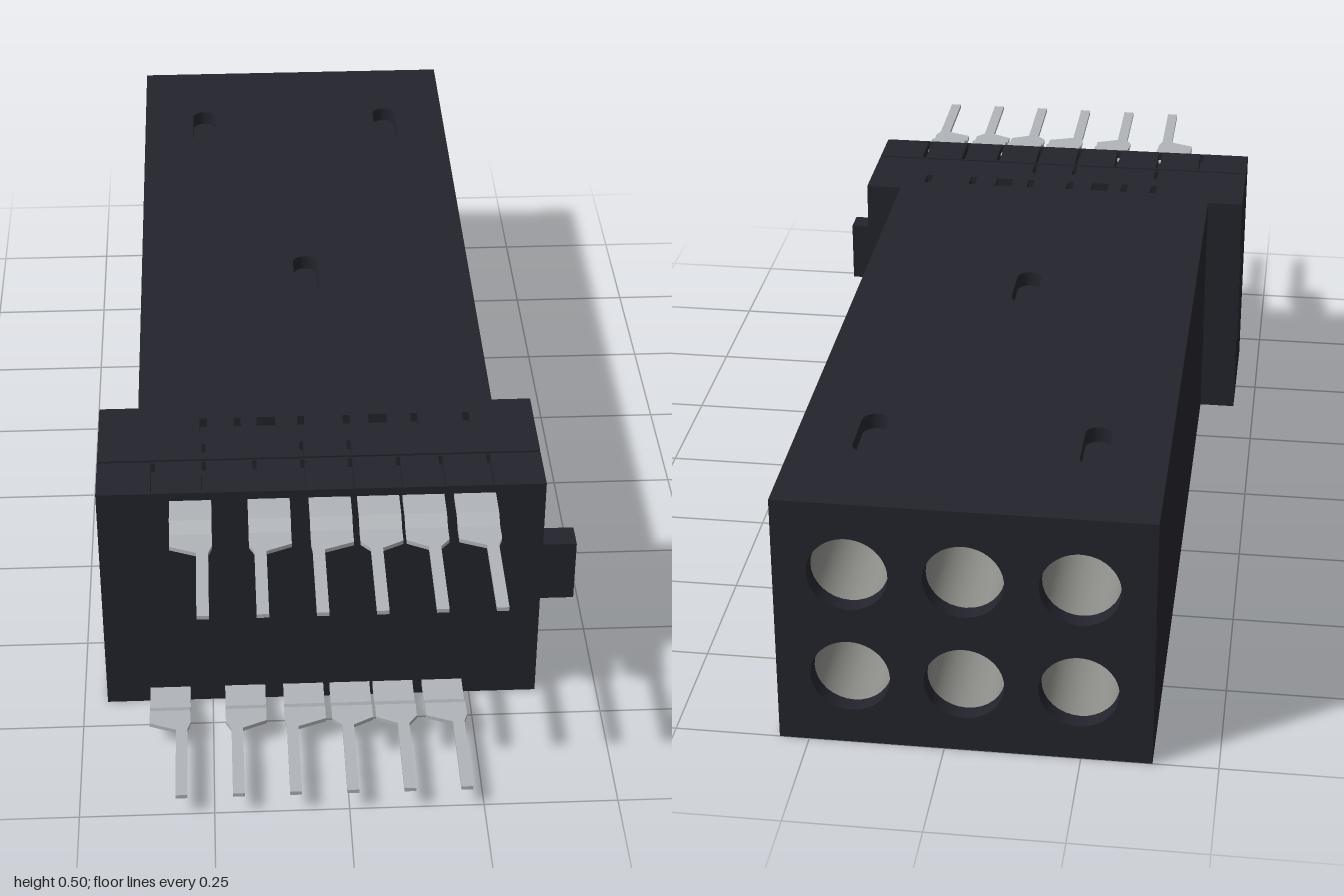
import * as THREE from 'three';

const rect = (T, x0, y0, x1, y1) => {
  const s = new T();
  s.moveTo(x0, y0); s.lineTo(x1, y0); s.lineTo(x1, y1); s.lineTo(x0, y1); s.closePath();
  return s;
};

// rounded slot running along z, as a hole in a horizontal plate
const slot = (x, z, w, len) => {
  const p = new THREE.Path(), r = w / 2, h = len / 2 - r;
  p.absarc(x, -z + h, r, 0, Math.PI, false);
  p.absarc(x, -z - h, r, Math.PI, 2 * Math.PI, false);
  p.closePath();
  return p;
};

const extrude = (shape, depth) =>
  new THREE.ExtrudeGeometry(shape, { depth, bevelEnabled: false, curveSegments: 10 });

// horizontal plate: shape drawn in (x, -z), thickness upward from y
const flat = (shape, y, t) => extrude(shape, t).rotateX(-Math.PI / 2).translate(0, y, 0);
// upright side plate: shape drawn in (-z, y), thickness towards +x from x
const side = (shape, x, t) => extrude(shape, t).rotateY(Math.PI / 2).translate(x, 0, 0);

export function createModel() {
  const plastic = new THREE.MeshStandardMaterial({ color: 0x23232d });
  plastic.name = 'darkPlastic';
  const metal = new THREE.MeshStandardMaterial({ color: 0xb0b4b8 });
  metal.name = 'pinMetal';
  const socketMetal = new THREE.MeshStandardMaterial({ color: 0x8c8c88, side: THREE.DoubleSide });
  socketMetal.name = 'socketMetal';

  const model = new THREE.Group();
  model.name = 'connector';
  const add = (geo, mat, name, parent = model) => {
    const m = new THREE.Mesh(geo, mat);
    m.name = name;
    parent.add(m);
    return m;
  };
  const box = (x0, x1, y0, y1, z0, z1) =>
    new THREE.BoxGeometry(x1 - x0, y1 - y0, z1 - z0)
      .translate((x0 + x1) / 2, (y0 + y1) / 2, (z0 + z1) / 2);

  // housing core with six round openings in the back
  const X0 = -0.38, X1 = 0.305, H = 0.5, T = 0.03;
  const columns = [-0.245, -0.0375, 0.17], rows = [0.143, 0.357], R = 0.073;
  const core = rect(THREE.Shape, X0, T, X1, H - T);
  for (const x of columns) for (const y of rows) {
    const p = new THREE.Path();
    p.absarc(x, y, R, 0, Math.PI * 2, false);
    core.holes.push(p);
  }
  add(new THREE.ExtrudeGeometry(core, { depth: 1.4, bevelEnabled: false, curveSegments: 24 })
    .translate(0, 0, -1), plastic, 'housingCore');

  // housing top and bottom skins with latch slots
  const top = rect(THREE.Shape, X0, -0.4, X1, 1);
  top.holes.push(slot(-0.245, -0.735, 0.05, 0.145), slot(0.17, -0.735, 0.05, 0.145),
    slot(-0.0375, -0.08, 0.05, 0.145));
  add(flat(top, H - T, T), plastic, 'housingTop');
  const bottom = rect(THREE.Shape, X0, -0.4, X1, 1);
  bottom.holes.push(slot(-0.245, 0.28, 0.05, 0.145), slot(0.17, 0.28, 0.05, 0.145));
  add(flat(bottom, 0, T), plastic, 'housingBottom');

  // metal sockets set behind each opening
  const sockets = new THREE.Group();
  sockets.name = 'sockets';
  model.add(sockets);
  for (const x of columns) for (const y of rows) {
    const r = R - 0.002;
    add(new THREE.CylinderGeometry(r, r, 0.4, 32, 1, true).rotateX(Math.PI / 2)
      .translate(x, y, -0.77), socketMetal, 'socketTube', sockets);
    add(new THREE.CircleGeometry(r, 32).translate(x, y, -0.57), socketMetal, 'socketEnd', sockets);
  }

  // collar around the front end
  const F0 = -0.455, F1 = 0.38, S = 0.02, W = 0.04;
  add(box(F0 + W, F1 - W, S, H - S, 0.4, 0.68), plastic, 'collarCore');

  // collar side plates with a latch window and a seam
  for (const x of [F0, F1 - W]) {
    const s = rect(THREE.Shape, -0.68, S, -0.4, H - S);
    s.holes.push(rect(THREE.Path, -0.485, 0.15, -0.42, 0.36));
    for (const y of [S + 0.003, 0.355])
      s.holes.push(rect(THREE.Path, -0.583, y, -0.577, y + 0.12));
    add(side(s, x, W), plastic, 'collarSide');
  }

  // collar top and bottom plates with small key slots and grooves
  const marks = [[-0.255, 0.014], [-0.19, 0.014], [-0.135, 0.036], [-0.068, 0.014],
    [0.02, 0.014], [0.08, 0.036], [0.15, 0.014], [0.25, 0.014]];
  const grooves = [-0.35, -0.255, -0.16, -0.07, 0.02, 0.11, 0.19, 0.28];
  for (const y of [0, H - S]) {
    const back = rect(THREE.Shape, F0, -0.574, F1, -0.4);
    for (const [x, w] of marks)
      back.holes.push(rect(THREE.Path, x - w / 2, -0.48, x + w / 2, -0.44));
    for (const x of [-0.255, -0.07, 0.02])
      back.holes.push(rect(THREE.Path, x - 0.004, -0.571, x + 0.004, -0.525));
    add(flat(back, y, S), plastic, 'collarBackPlate');
    const front = rect(THREE.Shape, F0, -0.68, F1, -0.579);
    for (const x of grooves)
      front.holes.push(rect(THREE.Path, x - 0.004, -0.675, x + 0.004, -0.583));
    add(flat(front, y, S), plastic, 'collarFrontPlate');
  }

  // locking tab on one side
  add(box(F1 - 0.01, 0.452, 0.19, 0.32, 0.58, 0.632), plastic, 'lockingTab');

  // bent terminal pins: wide stepped root, then a narrow blade
  const t = 0.008;
  const pin = (xRoot, xBlade, lower) => {
    const g = new THREE.Group();
    g.name = lower ? 'lowerPin' : 'upperPin';
    model.add(g);
    const f = (y) => (lower ? H + 0.008 - y : y);
    const path = [[0.66, 0.483], [0.74, 0.483], [0.765, 0.469], [0.8, 0.469]];
    const outline = [...path, ...path.map(([z, y]) => [z, y - t]).reverse()];
    const profile = new THREE.Shape(outline.map(([z, y]) => new THREE.Vector2(-z, f(y))));
    add(side(profile, xRoot - 0.039, 0.078), metal, 'pinRoot', g);
    const blade = new THREE.Shape([
      [xRoot - 0.039, 0.8], [xBlade - 0.011, 0.82], [xBlade - 0.011, 1],
      [xBlade + 0.011, 1], [xBlade + 0.011, 0.82], [xRoot + 0.039, 0.8],
    ].map(([x, z]) => new THREE.Vector2(x, -z)));
    add(flat(blade, lower ? f(0.469) : 0.469 - t, t), metal, 'pinBlade', g);
  };
  const roots = [-0.281, -0.136, -0.023, 0.067, 0.151, 0.247];
  roots.forEach((x, i) => {
    const blade = -0.26 + i * 0.1055;
    pin(x, blade, false);
    pin(x - 0.051, blade - 0.05, true);
  });

  return model;
}
